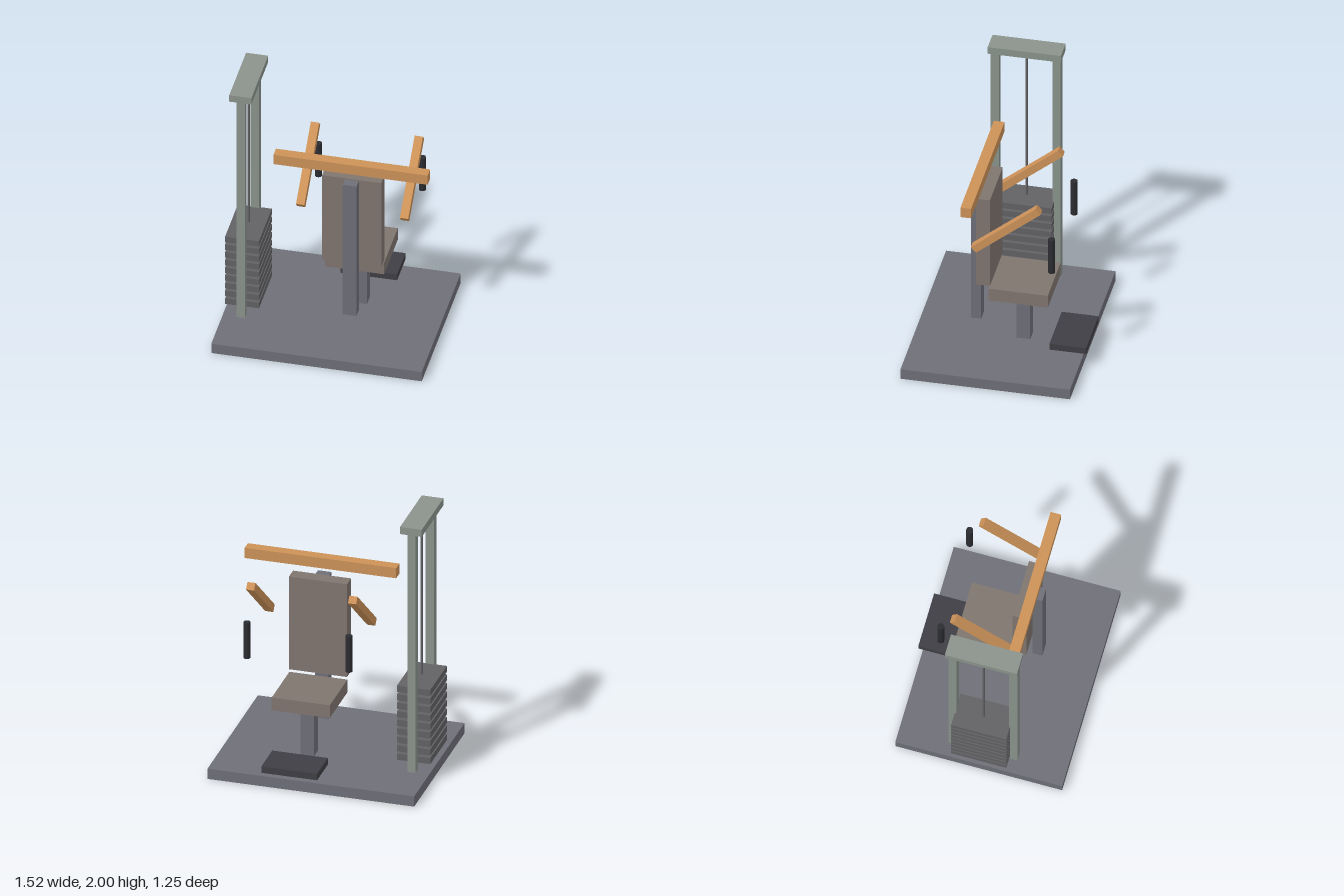
import * as THREE from 'three';

const mat = (color) => new THREE.MeshStandardMaterial({ color });

export function createModel() {
  const group = new THREE.Group();
  const steel = mat(0x6e6f77), frame = mat(0x8a938c), iron = mat(0x626265);
  const pad = mat(0x80756f), orange = mat(0xcc9258), rubber = mat(0x2c2d31), tread = mat(0x3f3e44);

  const add = (name, geometry, material, x, y, z) => {
    const mesh = new THREE.Mesh(geometry, material);
    mesh.name = name;
    mesh.position.set(x, y, z);
    group.add(mesh);
    return mesh;
  };
  // Box given by its limits along each axis
  const box = (name, material, [x0, x1], [y0, y1], [z0, z1]) =>
    add(name, new THREE.BoxGeometry(x1 - x0, y1 - y0, z1 - z0), material,
      (x0 + x1) / 2, (y0 + y1) / 2, (z0 + z1) / 2);

  box('base', steel, [-0.76, 0.76], [0, 0.08], [-0.595, 0.625]);

  // Weight tower
  box('rearUpright', frame, [-0.66, -0.6], [0.08, 1.945], [-0.235, -0.175]);
  box('frontUpright', frame, [-0.66, -0.6], [0.08, 1.945], [0.21, 0.27]);
  box('towerCap', frame, [-0.71, -0.55], [1.945, 2], [-0.247, 0.28]);
  for (let i = 0; i < 9; i++) {
    const y = 0.14 + i * 0.0667;
    box('weightPlate', iron, [-0.755, -0.51], [y, y + 0.048], [-0.188, 0.215]);
  }
  add('cable', new THREE.CylinderGeometry(0.01, 0.01, 1.21, 12), iron, -0.63, 1.34, 0.016);

  // Seat and back rest
  box('seatPost', steel, [0.1, 0.2], [0.08, 0.48], [-0.188, -0.088]);
  box('seat', pad, [-0.065, 0.362], [0.48, 0.58], [-0.35, 0.078]);
  box('backPost', steel, [0.1, 0.2], [0.205, 1.325], [0.165, 0.238]);
  box('backPad', pad, [-0.065, 0.362], [0.605, 1.332], [0.067, 0.167]);
  box('footPlate', tread, [-0.055, 0.355], [0.12, 0.17], [-0.625, -0.36]);

  // Press beam, slanted arms and grips
  box('pressBeam', orange, [-0.408, 0.706], [1.4, 1.48], [0.128, 0.205]);
  for (const x of [-0.225, 0.525]) {
    const arm = add('pressArm', new THREE.BoxGeometry(0.06, 0.056, 0.606), orange, x, 1.222, -0.088);
    arm.rotation.x = THREE.MathUtils.degToRad(39.8);
    add('grip', new THREE.CylinderGeometry(0.025, 0.025, 0.28, 16), rubber, x, 1.04, -0.413);
  }
  return group;
}
